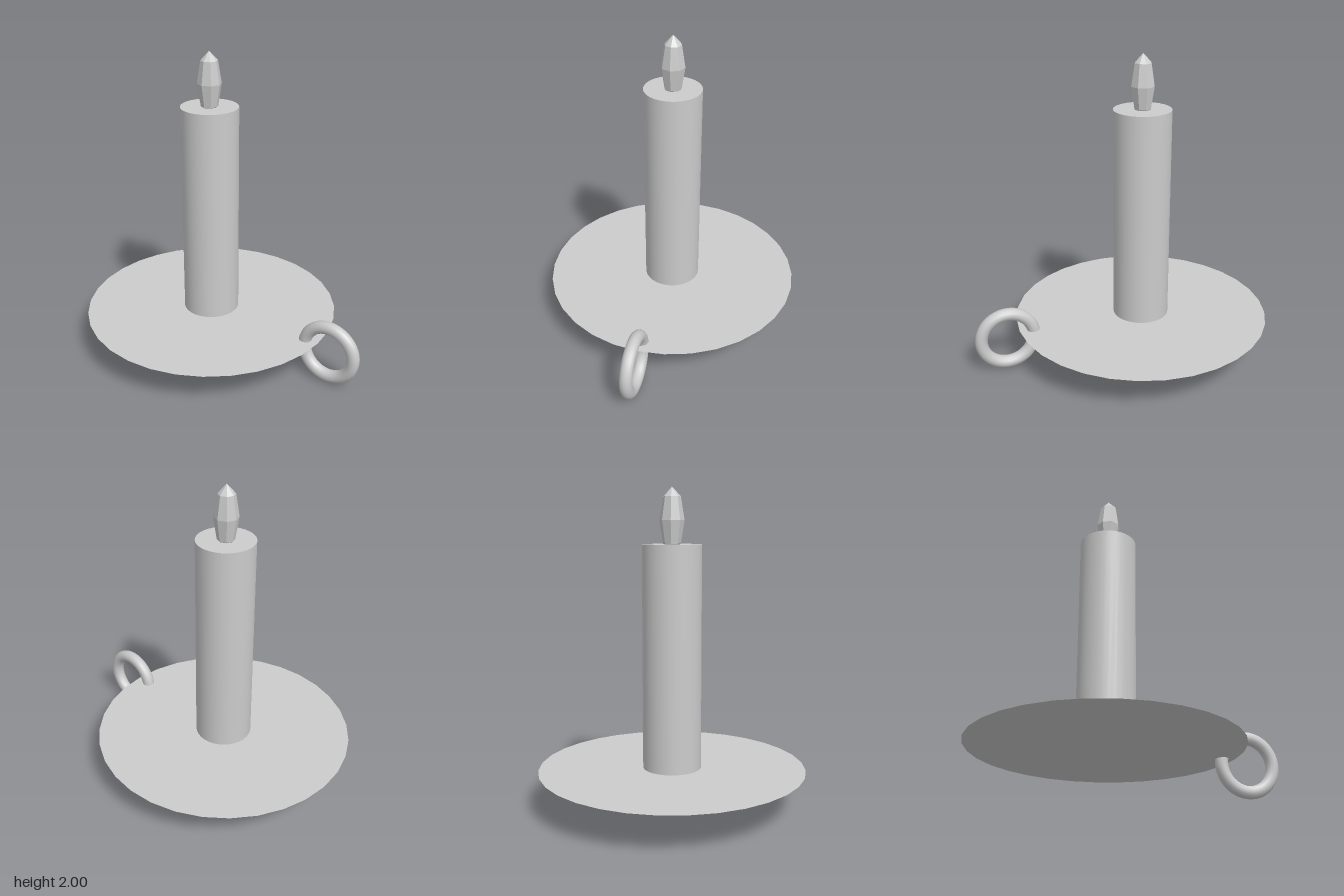
import * as THREE from 'three';

export function createModel() {
  const group = new THREE.Group();
  const smooth = new THREE.MeshStandardMaterial({ color: 0xcccccc });
  const faceted = new THREE.MeshStandardMaterial({ color: 0xcccccc, flatShading: true });
  const axisX = -0.15;
  const plateTop = 0.25;
  const candleTop = 1.655;

  const add = (name, geometry, material, x, y) => {
    const mesh = new THREE.Mesh(geometry, material);
    mesh.name = name;
    mesh.position.set(x, y, 0);
    group.add(mesh);
    return mesh;
  };

  // Flat-topped dish with a very shallow conical underside
  add('plate', new THREE.CylinderGeometry(0.843, 0, 0.05, 32), smooth, axisX, plateTop - 0.025);

  // Candle standing on the dish
  const height = candleTop - plateTop;
  add('candle', new THREE.CylinderGeometry(0.184, 0.184, height, 32), smooth, axisX, plateTop + height / 2);

  // Faceted flame, its lower tip sunk into the candle
  const flame = new THREE.SphereGeometry(0.077, 8, 4);
  flame.scale(1, 0.2 / 0.077, 1);
  add('flame', flame, faceted, axisX, 1.8);

  // Upright finger ring through the rim of the dish
  add('handleRing', new THREE.TorusGeometry(0.173, 0.041, 12, 48), smooth, 0.772, 0.218);

  return group;
}
